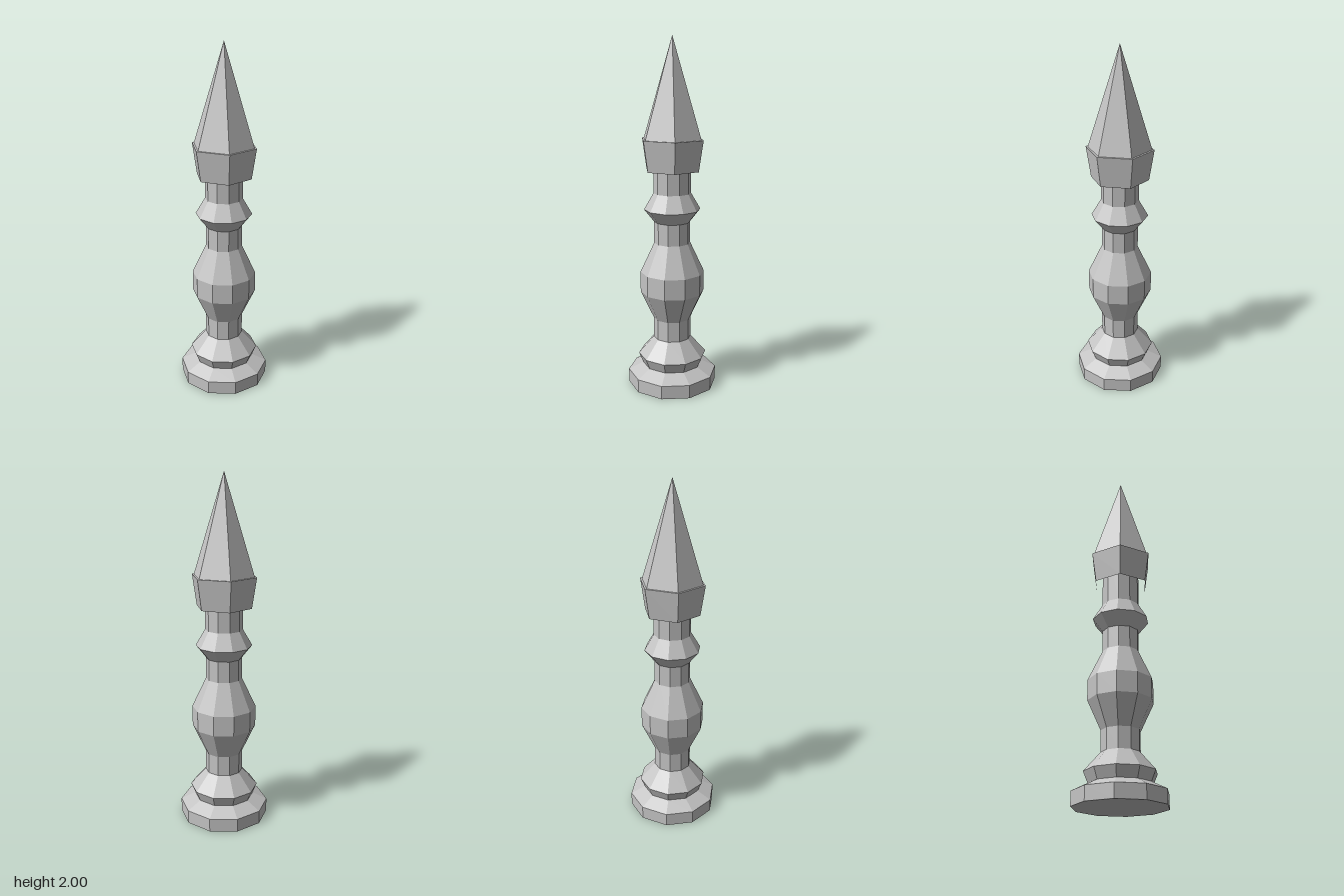
import * as THREE from 'three';

// Faceted surface of revolution; profile is [radius, height] from bottom to top
function turned(name, profile, sides, phase, material) {
  const points = profile.map(([r, y]) => new THREE.Vector2(r, y));
  const mesh = new THREE.Mesh(new THREE.LatheGeometry(points, sides, phase), material);
  mesh.name = name;
  return mesh;
}

export function createModel() {
  const group = new THREE.Group();
  group.name = 'spikedPost';
  const stone = new THREE.MeshStandardMaterial({ color: 0xc4c4c4, flatShading: true });
  stone.name = 'greyStone';

  // Ten-sided foot with a closed underside
  group.add(turned('foot', [[0, 0], [0.257, 0], [0.257, 0.078], [0.172, 0.12]], 10, 0, stone));

  // Ten-sided baluster: lower ring, neck, belly, neck, upper ring, top neck
  group.add(turned('shaft', [
    [0.172, 0.12], [0.197, 0.18], [0.108, 0.282], [0.108, 0.4],
    [0.183, 0.562], [0.183, 0.68], [0.103, 0.852], [0.103, 0.975],
    [0.16, 1.047], [0.106, 1.14], [0.106, 1.443],
  ], 10, 0, stone));

  // Six-sided flared collar, hollow underneath, with a narrow top rim
  group.add(turned('collar', [[0.162, 1.268], [0.189, 1.443], [0.177, 1.443]], 6, Math.PI / 6, stone));

  // Six-sided spike
  group.add(turned('spike', [[0.177, 1.443], [0, 2]], 6, Math.PI / 6, stone));

  return group;
}
